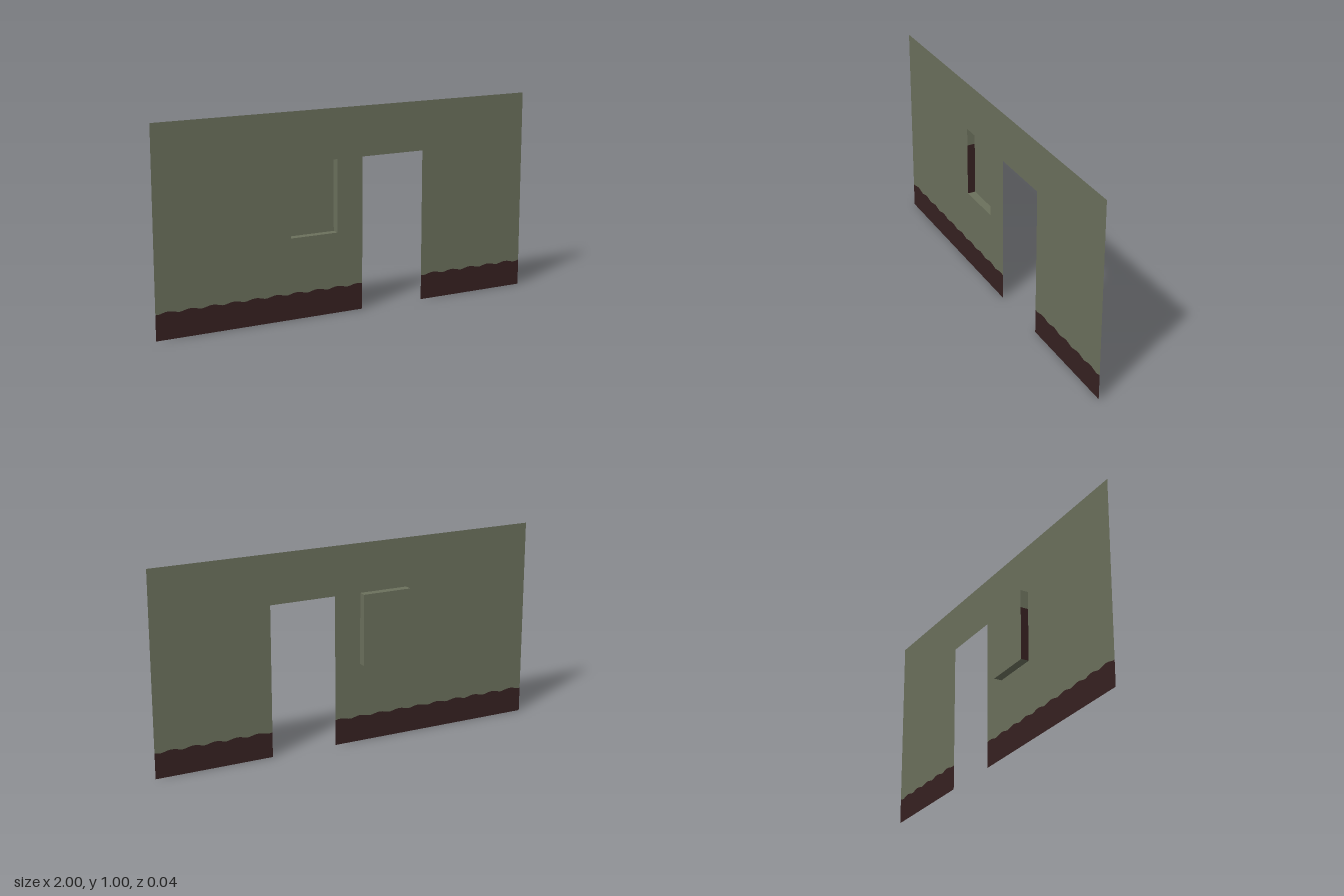
import * as THREE from 'three';

const FRONT = 0.02, BACK = -0.02;
const DOOR = { left: 0.072, right: 0.408, top: 0.755 };
const NICHE = { left: -0.314, right: -0.063, bottom: 0.398, top: 0.755 };
const STAIN_TOP = 0.665;

// Gently scalloped upper edge of the dark base band
const bandEdge = (x) => 0.123 + 0.01 * Math.abs(Math.sin((x + 0.01) * Math.PI / 0.109)) ** 1.5;

// Points along the band edge from x0 to x1
function edgePoints(x0, x1) {
  const steps = Math.ceil((x1 - x0) / 0.012);
  return Array.from({ length: steps + 1 }, (_, i) => {
    const x = x0 + (x1 - x0) * i / steps;
    return new THREE.Vector2(x, bandEdge(x));
  });
}

export function createModel() {
  const group = new THREE.Group();
  const plaster = new THREE.MeshStandardMaterial({ name: 'olivePlaster', color: 0x6b705c, side: THREE.DoubleSide });
  const base = new THREE.MeshStandardMaterial({ name: 'darkBrown', color: 0x362121, side: THREE.DoubleSide });

  function add(name, geometry, material, x = 0, y = 0, z = 0) {
    const mesh = new THREE.Mesh(geometry, material);
    mesh.name = name;
    mesh.position.set(x, y, z);
    group.add(mesh);
    return mesh;
  }

  // Thin wall with a doorway, wavy lower edge and a cut-out for the niche
  const leftEdge = edgePoints(-1, DOOR.left);
  const rightEdge = edgePoints(DOOR.right, 1);
  const wall = new THREE.Shape([
    ...leftEdge,
    new THREE.Vector2(DOOR.left, DOOR.top),
    new THREE.Vector2(DOOR.right, DOOR.top),
    ...rightEdge,
    new THREE.Vector2(1, 1),
    new THREE.Vector2(-1, 1),
  ]);
  wall.holes.push(new THREE.Path([
    new THREE.Vector2(NICHE.left, NICHE.bottom),
    new THREE.Vector2(NICHE.left, NICHE.top),
    new THREE.Vector2(NICHE.right, NICHE.top),
    new THREE.Vector2(NICHE.right, NICHE.bottom),
  ]));
  add('wall', new THREE.ShapeGeometry(wall), plaster, 0, 0, FRONT);

  // Base bands either side of the doorway
  for (const [name, edge] of [['baseBandBesideNiche', leftEdge], ['baseBandBesideDoor', rightEdge]]) {
    const first = edge[0].x, last = edge[edge.length - 1].x;
    const band = new THREE.Shape([
      new THREE.Vector2(first, 0),
      new THREE.Vector2(last, 0),
      ...[...edge].reverse(),
    ]);
    add(name, new THREE.ShapeGeometry(band), base, 0, 0, FRONT);
  }

  // Niche: back panel, sill, lintel and jambs
  const width = NICHE.right - NICHE.left, height = NICHE.top - NICHE.bottom, depth = FRONT - BACK;
  const midX = (NICHE.left + NICHE.right) / 2, midY = (NICHE.bottom + NICHE.top) / 2;
  add('nicheBack', new THREE.PlaneGeometry(width, height), plaster, midX, midY, BACK);
  add('nicheSill', new THREE.PlaneGeometry(width, depth), plaster, midX, NICHE.bottom).rotation.x = -Math.PI / 2;
  add('nicheLintel', new THREE.PlaneGeometry(width, depth), plaster, midX, NICHE.top).rotation.x = Math.PI / 2;

  function jamb(name, x, y0, y1, material, turn) {
    add(name, new THREE.PlaneGeometry(depth, y1 - y0), material, x, (y0 + y1) / 2).rotation.y = turn;
  }
  jamb('nicheJambPlain', NICHE.right, NICHE.bottom, NICHE.top, plaster, -Math.PI / 2);
  jamb('nicheJambUpper', NICHE.left, STAIN_TOP, NICHE.top, plaster, Math.PI / 2);
  jamb('nicheJambLower', NICHE.left, NICHE.bottom, STAIN_TOP, base, Math.PI / 2);

  return group;
}
